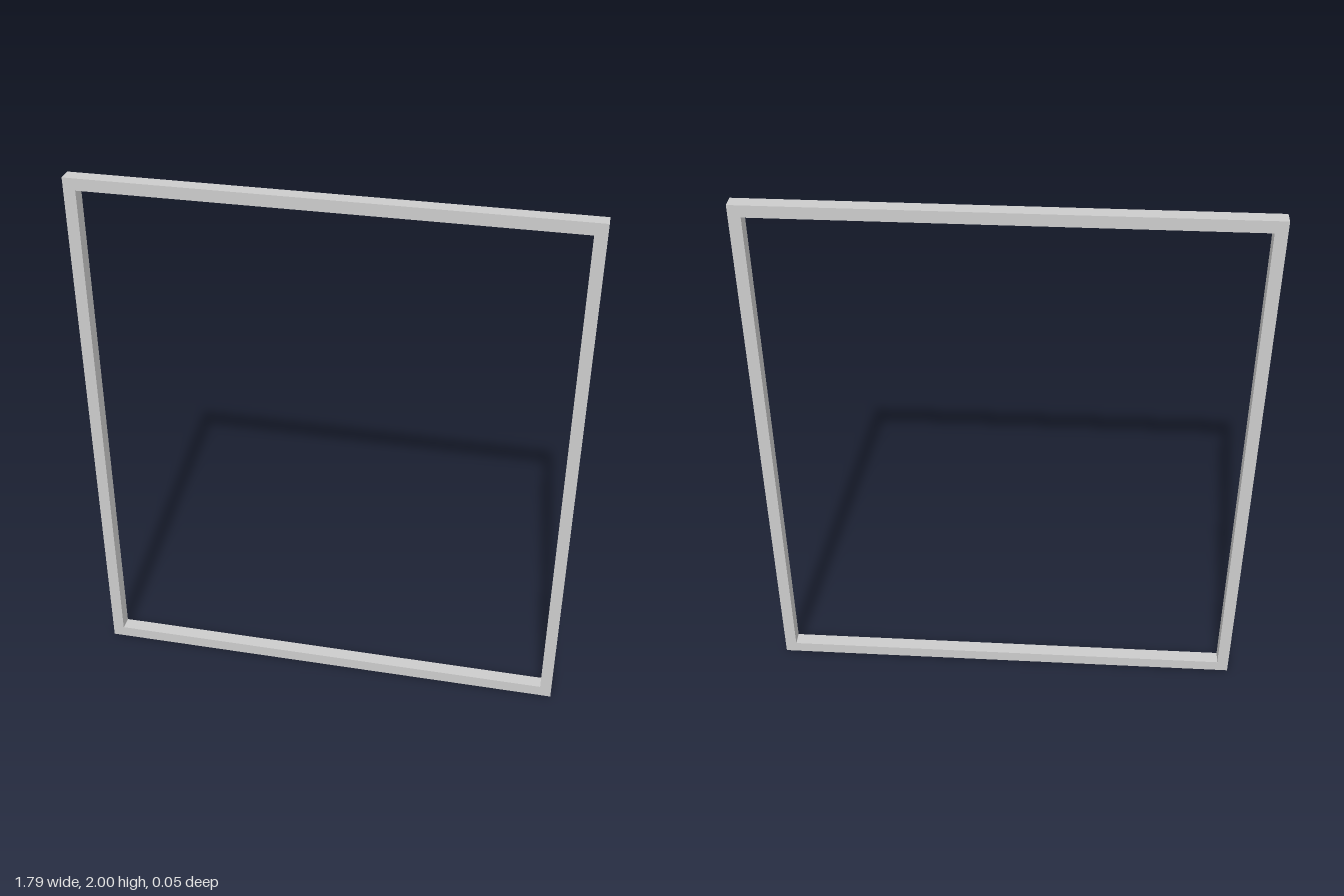
import * as THREE from 'three';

const WIDTH = 1.788, HEIGHT = 2, BAR = 0.043, DEPTH = 0.052;

// Corners of a rectangle standing on y = inset
function rectangle(inset) {
  const x = WIDTH / 2 - inset, top = HEIGHT - inset;
  return [[-x, inset], [x, inset], [x, top], [-x, top]].map(([px, py]) => new THREE.Vector2(px, py));
}

export function createModel() {
  const group = new THREE.Group();
  group.name = 'rectangularFrame';

  // One continuous square-edged frame around an open middle
  const outline = new THREE.Shape(rectangle(0));
  outline.holes.push(new THREE.Path(rectangle(BAR)));
  const geometry = new THREE.ExtrudeGeometry(outline, { depth: DEPTH, bevelEnabled: false });
  geometry.translate(0, 0, -DEPTH / 2);

  const frame = new THREE.Mesh(geometry, new THREE.MeshStandardMaterial({ color: 0xcccccc }));
  frame.name = 'frame';
  group.add(frame);
  return group;
}
